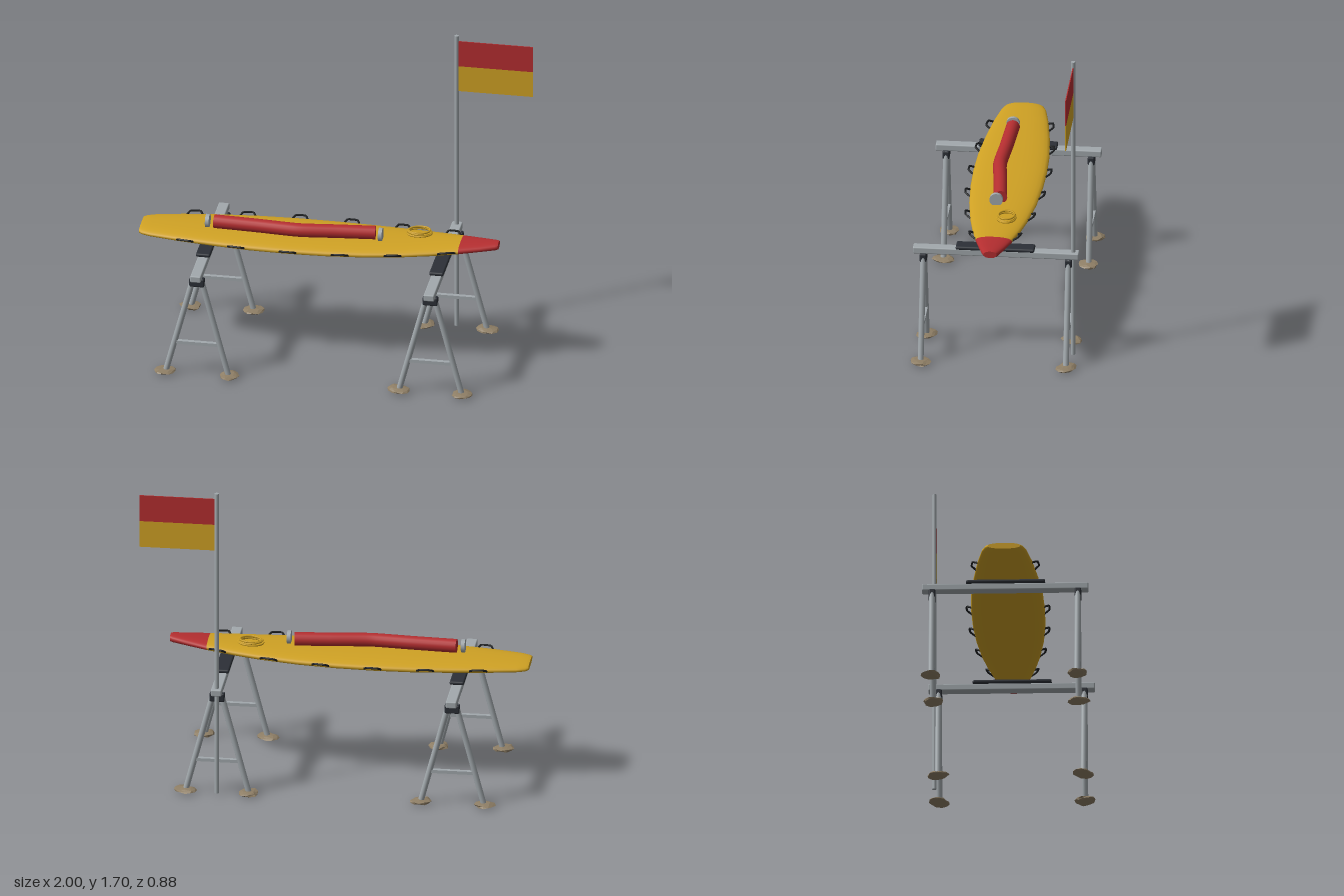
import * as THREE from 'three';
import { RoundedBoxGeometry } from 'three/addons/geometries/RoundedBoxGeometry.js';

const mat = (name, color, extra = {}) => {
  const m = new THREE.MeshStandardMaterial({ color, ...extra });
  m.name = name;
  return m;
};

// Board stations: x, half width, bottom y, top y
const HULL = [
  [-1, 0.085, 0.645, 0.678], [-0.985, 0.1, 0.641, 0.681], [-0.94, 0.117, 0.639, 0.684],
  [-0.8, 0.143, 0.636, 0.689], [-0.6, 0.169, 0.633, 0.693], [-0.4, 0.187, 0.631, 0.695],
  [-0.2, 0.193, 0.631, 0.696], [0, 0.189, 0.633, 0.697], [0.2, 0.176, 0.638, 0.699],
  [0.4, 0.152, 0.647, 0.703], [0.55, 0.126, 0.656, 0.709], [0.69, 0.096, 0.667, 0.716],
];
const NOSE = [[0.69, 0.096, 0.667, 0.716], [0.8, 0.066, 0.678, 0.722], [0.875, 0.042, 0.685, 0.727], [0.89, 0.034, 0.689, 0.726]];

// Closed body lofted through lens-shaped cross-sections
function loft(stations) {
  const N = 28, pos = [], idx = [];
  const ring = ([x, w, b, t]) => {
    for (let j = 0; j < N; j++) {
      const a = (j / N) * Math.PI * 2, c = Math.cos(a), s = Math.sin(a);
      const e = (v) => Math.sign(v) * Math.abs(v) ** 0.88;
      pos.push(x, (b + t) / 2 + e(s) * (t - b) / 2, e(c) * w);
    }
  };
  stations.forEach(ring);
  for (let i = 0; i < stations.length - 1; i++) {
    for (let j = 0; j < N; j++) {
      const a = i * N + j, b = i * N + (j + 1) % N;
      idx.push(a, a + N, b, b, a + N, b + N);
    }
  }
  // end caps with their own vertices
  [stations[0], stations[stations.length - 1]].forEach((s, k) => {
    const o = pos.length / 3;
    ring(s);
    for (let j = 1; j < N - 1; j++) idx.push(o, o + (k ? j + 1 : j), o + (k ? j : j + 1));
  });
  const g = new THREE.BufferGeometry();
  g.setAttribute('position', new THREE.Float32BufferAttribute(pos, 3));
  g.setIndex(idx);
  g.computeVertexNormals();
  return g;
}

function widthAt(x) {
  const i = Math.max(1, HULL.findIndex((s) => s[0] >= x));
  const a = HULL[i - 1], b = HULL[i], t = (x - a[0]) / (b[0] - a[0]);
  return a.map((v, k) => v + (b[k] - v) * t);
}

// Flat irregular stone
function stoneGeometry(seed) {
  const g = new THREE.IcosahedronGeometry(1, 1), p = g.attributes.position;
  for (let i = 0; i < p.count; i++) {
    const [x, y, z] = [p.getX(i), p.getY(i), p.getZ(i)].map((v) => Math.round(v * 1000) / 1000);
    const h = Math.sin(x * 12.99 + y * 78.23 + z * 37.72 + seed * 5.3) * 43758.5;
    const r = 0.82 + 0.32 * (h - Math.floor(h));
    p.setXYZ(i, x * r * 0.058, y * r * 0.013, z * r * 0.05);
  }
  g.computeVertexNormals();
  g.computeBoundingBox();
  return g.translate(0, -g.boundingBox.min.y, 0);
}

export function createModel() {
  const model = new THREE.Group();
  model.name = 'rescueBoardOnTrestles';
  const yellow = mat('boardYellow', 0xd0a224);
  const red = mat('signalRed', 0xb52e30);
  const metal = mat('metalGrey', 0xa2a9ad);
  const rubber = mat('rubberDark', 0x2c3037);
  const rope = mat('ropeBlack', 0x1c1e20);
  const stone = mat('stoneBrown', 0x8f7f66, { flatShading: true });

  const add = (parent, name, geo, material, x = 0, y = 0, z = 0) => {
    const m = new THREE.Mesh(geo, material);
    m.name = name;
    m.position.set(x, y, z);
    parent.add(m);
    return m;
  };
  const rod = (parent, name, a, b, r, material, sides = 12) => {
    const d = b.clone().sub(a);
    const m = add(parent, name, new THREE.CylinderGeometry(r, r, d.length(), sides), material);
    m.position.copy(a).addScaledVector(d, 0.5);
    m.quaternion.setFromUnitVectors(new THREE.Vector3(0, 1, 0), d.normalize());
    return m;
  };
  const V = (x, y, z) => new THREE.Vector3(x, y, z);

  // Board and painted nose
  add(model, 'board', loft(HULL), yellow);
  add(model, 'boardNose', loft(NOSE), red);

  // Rope grab handles along both rails
  for (const x of [-0.745, -0.47, -0.195, 0.08, 0.355, 0.63]) {
    for (const s of [-1, 1]) {
      const at = (dx, out, up) => {
        const [, w, b, t] = widthAt(x + dx);
        return V(x + dx, (b + t) / 2 + up, s * (w + out));
      };
      const pts = [at(-0.046, -0.008, -0.003), at(-0.026, 0.022, 0.014), at(0.026, 0.022, 0.014), at(0.046, -0.008, -0.003)];
      const path = new THREE.CatmullRomCurve3(pts, false, 'catmullrom', 0.2);
      add(model, 'grabHandle', new THREE.TubeGeometry(path, 18, 0.0055, 6), rope);
    }
  }

  // Bent rescue tube with end discs
  const bend = new THREE.CatmullRomCurve3([
    V(-0.61, 0.727, 0.025), V(-0.38, 0.727, 0.036), V(-0.16, 0.727, 0.049), V(0.04, 0.727, 0.028), V(0.24, 0.727, 0.009),
  ], false, 'catmullrom', 0.3);
  add(model, 'rescueTube', new THREE.TubeGeometry(bend, 32, 0.036, 18), red);
  for (const [t, s] of [[0, -1], [1, 1]]) {
    const cap = add(model, 'rescueTubeEnd', new THREE.CircleGeometry(0.036, 18), red);
    const p = bend.getPoint(t);
    cap.position.copy(p);
    cap.lookAt(p.clone().addScaledVector(bend.getTangent(t), s));
  }
  for (const x of [-0.645, 0.27]) {
    const disc = add(model, 'tubeEndDisc', new THREE.CylinderGeometry(0.035, 0.035, 0.02, 20), metal, x, 0.729, 0.028);
    disc.rotation.z = Math.PI / 2;
  }

  // Coiled line on the deck
  [[0.066, 0.72, 0.03], [0.061, 0.728, -0.05], [0.056, 0.735, 0.04]].forEach(([r, y, tilt]) => {
    const coil = add(model, 'lineCoil', new THREE.TorusGeometry(r, 0.005, 6, 32), yellow, 0.463, y, -0.045);
    coil.rotation.set(Math.PI / 2, tilt, 0);
    coil.scale.y = 0.75;
  });

  // Two trestles
  [-0.64, 0.595].forEach((cx, k) => {
    const trestle = new THREE.Group();
    trestle.name = 'trestle';
    trestle.position.x = cx;
    model.add(trestle);
    add(trestle, 'beam', new RoundedBoxGeometry(0.056, 0.036, 0.868, 2, 0.006), metal, 0, 0.584, -0.003);
    add(trestle, 'pad', new RoundedBoxGeometry(0.076, 0.02, 0.412, 3, 0.009), rubber, 0, 0.611, 0);
    [-0.384, 0.376].forEach((z, i) => {
      add(trestle, 'legBracket', new RoundedBoxGeometry(0.08, 0.048, 0.036, 2, 0.008), rubber, 0, 0.545, z);
      for (const s of [-1, 1]) {
        rod(trestle, 'leg', V(s * 0.02, 0.565, z), V(s * 0.165, 0.015, z), 0.0155, metal);
        const foot = add(trestle, 'stoneFoot', stoneGeometry(k * 4 + i * 2 + s), stone, s * 0.168, 0, z);
        foot.rotation.y = k * 2 + i * 1.1 + s * 0.6;
      }
      add(trestle, 'crossBar', new THREE.BoxGeometry(0.24, 0.017, 0.022), metal, 0, 0.188, z);
    });
  });

  // Flagpole and two-colour flag
  rod(model, 'flagPole', V(0.595, 0.01, -0.406), V(0.595, 1.702, -0.406), 0.0115, metal, 16);
  add(model, 'flagUpper', new THREE.BoxGeometry(0.396, 0.145, 0.005), red, 0.802, 1.598, -0.406);
  add(model, 'flagLower', new THREE.BoxGeometry(0.396, 0.145, 0.005), yellow, 0.802, 1.453, -0.406);
  return model;
}
